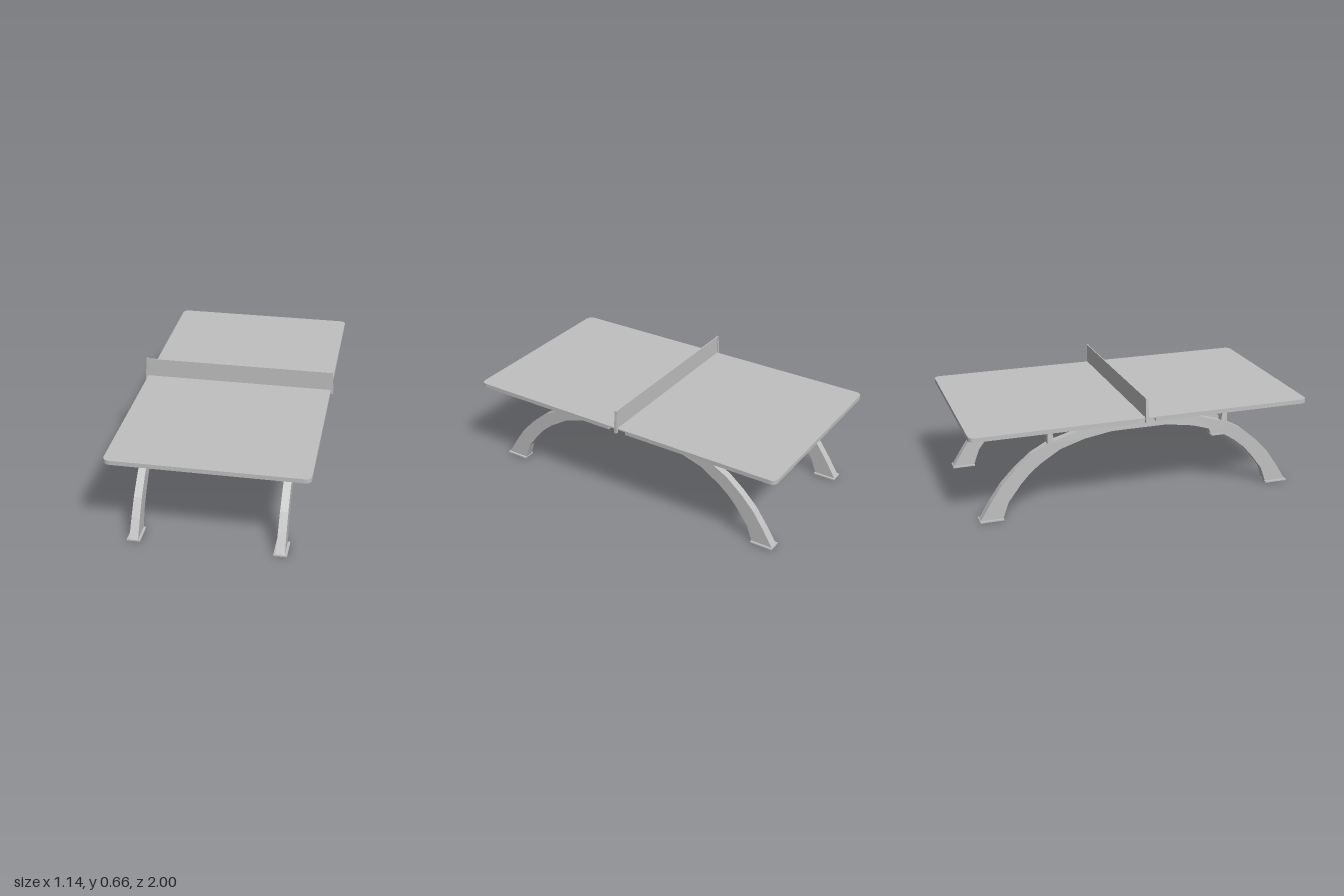
import * as THREE from 'three';

// Legs get narrower towards the table
const halfWidth = y => y < 0.42 ? 0.025 - 0.01 * y : 0.0208 - 0.055 * (y - 0.42);

// Square tube with open ends, lofted between paired outer and inner [z, y] points
function loft(outer, inner) {
  const pos = [];
  const rings = outer.map(([zo, yo], i) => {
    const [zi, yi] = inner[i], a = halfWidth(yo), b = halfWidth(yi);
    return [[-a, yo, zo], [a, yo, zo], [b, yi, zi], [-b, yi, zi]];
  });
  for (let i = 0; i < rings.length - 1; i++) {
    const p = rings[i], q = rings[i + 1];
    for (let j = 0; j < 4; j++) {
      const k = (j + 1) % 4;
      pos.push(...p[j], ...p[k], ...q[k], ...p[j], ...q[k], ...q[j]);
    }
  }
  const geo = new THREE.BufferGeometry();
  geo.setAttribute('position', new THREE.Float32BufferAttribute(pos, 3));
  geo.computeVertexNormals();
  return geo;
}

// Continue a half profile to the other side of z = 0
const mirrored = pts => [...pts, ...pts.slice().reverse().map(([z, y]) => [-z, y])];

// Flat slab in the xz plane; far corners rounded, near corners by their own radius
function slab(w, z0, z1, r0, r1, y, h) {
  const s = new THREE.Shape();
  s.moveTo(-w + r0, z0);
  s.lineTo(w - r0, z0);
  if (r0) s.quadraticCurveTo(w, z0, w, z0 + r0);
  s.lineTo(w, z1 - r1);
  if (r1) s.quadraticCurveTo(w, z1, w - r1, z1);
  s.lineTo(-w + r1, z1);
  if (r1) s.quadraticCurveTo(-w, z1, -w, z1 - r1);
  s.lineTo(-w, z0 + r0);
  if (r0) s.quadraticCurveTo(-w, z0, -w + r0, z0);
  const geo = new THREE.ExtrudeGeometry(s, { depth: h, bevelEnabled: false, curveSegments: 5 });
  return geo.rotateX(-Math.PI / 2).translate(0, y, 0);
}

// Rectangular frame lying flat
function footFrame() {
  const rect = (T, x, z) => new T([[-x, -z], [x, -z], [x, z], [-x, z]].map(p => new THREE.Vector2(...p)));
  const s = rect(THREE.Shape, 0.038, 0.068);
  s.holes.push(rect(THREE.Path, 0.023, 0.058));
  return new THREE.ExtrudeGeometry(s, { depth: 0.008, bevelEnabled: false }).rotateX(-Math.PI / 2);
}

export function createModel() {
  const model = new THREE.Group();
  model.name = 'tableTennisTable';
  const grey = new THREE.MeshStandardMaterial({ color: 0xc0c0c0, side: THREE.DoubleSide });
  grey.name = 'lightGrey';
  const add = (name, geo, parent = model) => {
    const m = new THREE.Mesh(geo, grey);
    m.name = name;
    parent.add(m);
    return m;
  };

  // Table top: thin full sheet over two thicker halves, leaving a slot under the net
  const W = 0.555, r = 0.04;
  add('tableSheet', slab(W, -1, 1, r, r, 0.54, 0.008));
  add('tableHalfFront', slab(W, -1, -0.057, r, 0, 0.523, 0.017));
  add('tableHalfBack', slab(W, 0.057, 1, 0, r, 0.523, 0.017));

  // Net and its slanted end posts
  add('net', new THREE.BoxGeometry(1.11, 0.112, 0.006).translate(0, 0.604, 0));
  const post = new THREE.Shape([[0.554, 0.523], [0.57, 0.523], [0.569, 0.56], [0.561, 0.662], [0.554, 0.662]]
    .map(p => new THREE.Vector2(...p)));
  for (const side of [0, 1]) {
    const geo = new THREE.ExtrudeGeometry(post, { depth: 0.016, bevelEnabled: false }).translate(0, 0, -0.008);
    add(side ? 'netPostRight' : 'netPostLeft', geo).rotation.y = side * Math.PI;
  }

  // Arched leg profile
  const outer = mirrored([[0.94, 0.004], [0.875, 0.11], [0.81, 0.205], [0.73, 0.29], [0.635, 0.37],
    [0.54, 0.422], [0.35, 0.48], [0.165, 0.51]]);
  const inner = mirrored([[0.81, 0.004], [0.775, 0.1], [0.70, 0.2], [0.65, 0.255], [0.59, 0.305],
    [0.47, 0.38], [0.325, 0.425], [0.165, 0.45]]);

  for (const [name, x] of [['Left', 0.395], ['Right', -0.425]]) {
    const leg = new THREE.Group();
    leg.name = 'leg' + name;
    leg.position.x = x;
    model.add(leg);
    add('arch', loft(outer, inner), leg);
    for (const turn of [0, Math.PI]) {
      // Bracket up to the table, and a hollow foot plate
      add('bracket', loft([[0.545, 0.41], [0.543, 0.435], [0.538, 0.523]],
        [[0.5, 0.42], [0.505, 0.44], [0.521, 0.523]]), leg).rotation.y = turn;
      add('footPlate', footFrame(), leg).position.z = turn ? -0.875 : 0.875;
    }
  }

  // Rails joining the brackets under the table
  for (const z of [-0.53, 0.53])
    add('crossRail', new THREE.BoxGeometry(0.82, 0.013, 0.018).translate(-0.015, 0.5165, z));
  return model;
}
